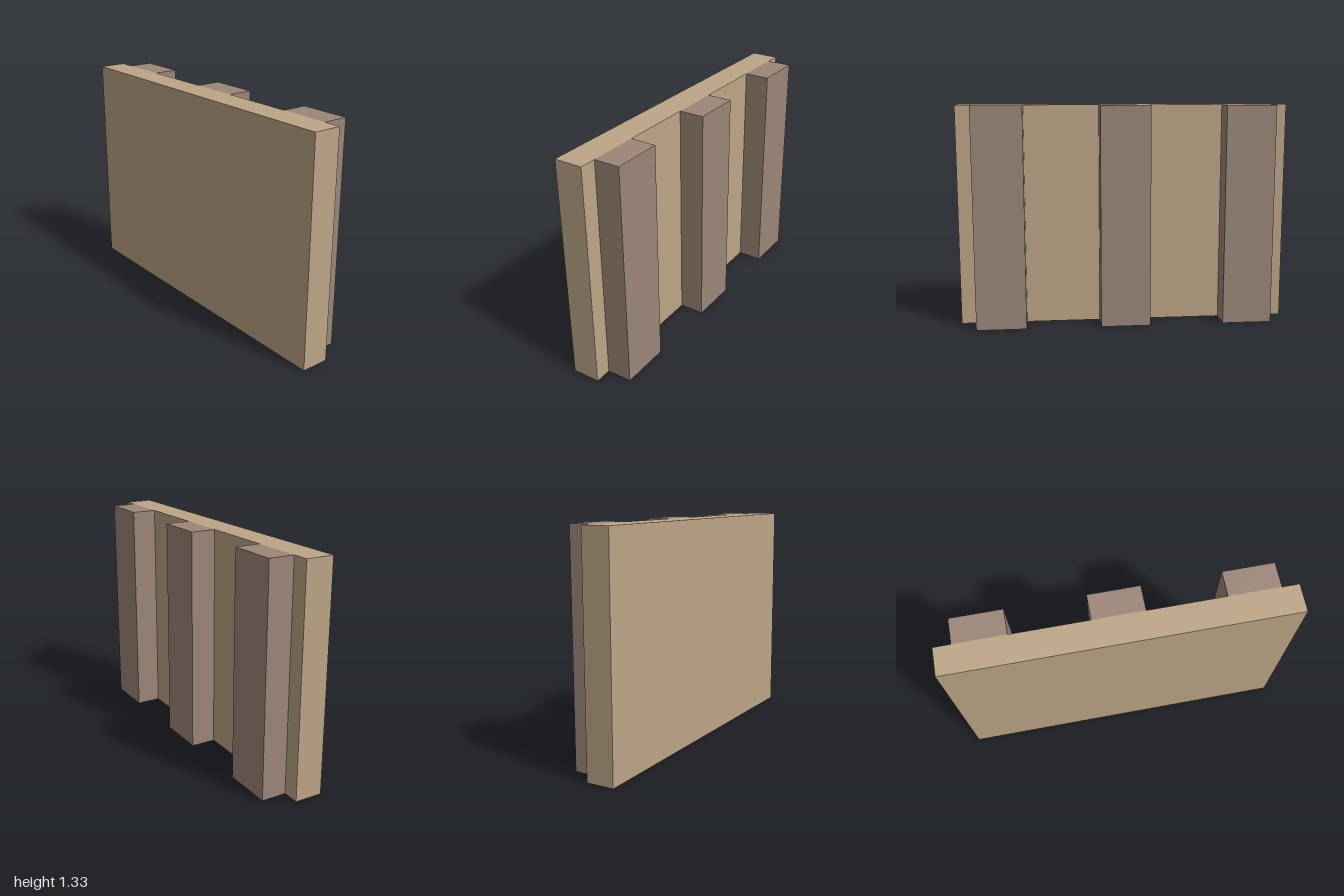
import * as THREE from 'three';

const HEIGHT = 1.333;

export function createModel() {
  const group = new THREE.Group();
  const panelMaterial = new THREE.MeshStandardMaterial({ color: 0xbca586 });
  const postMaterial = new THREE.MeshStandardMaterial({ color: 0x9c8678 });

  // Upright slab standing on the ground
  function addSlab(name, width, x, zBack, zFront, material) {
    const mesh = new THREE.Mesh(new THREE.BoxGeometry(width, HEIGHT, zFront - zBack), material);
    mesh.name = name;
    mesh.position.set(x, HEIGHT / 2, (zBack + zFront) / 2);
    group.add(mesh);
  }

  // Wall panel at the front
  addSlab('wallPanel', 2, 0, -0.008, 0.158, panelMaterial);

  // Three posts against the back of the panel
  const posts = { rightPost: -0.75, middlePost: 0, leftPost: 0.75 };
  for (const [name, x] of Object.entries(posts)) {
    addSlab(name, 0.3, x, -0.158, -0.008, postMaterial);
  }

  return group;
}
